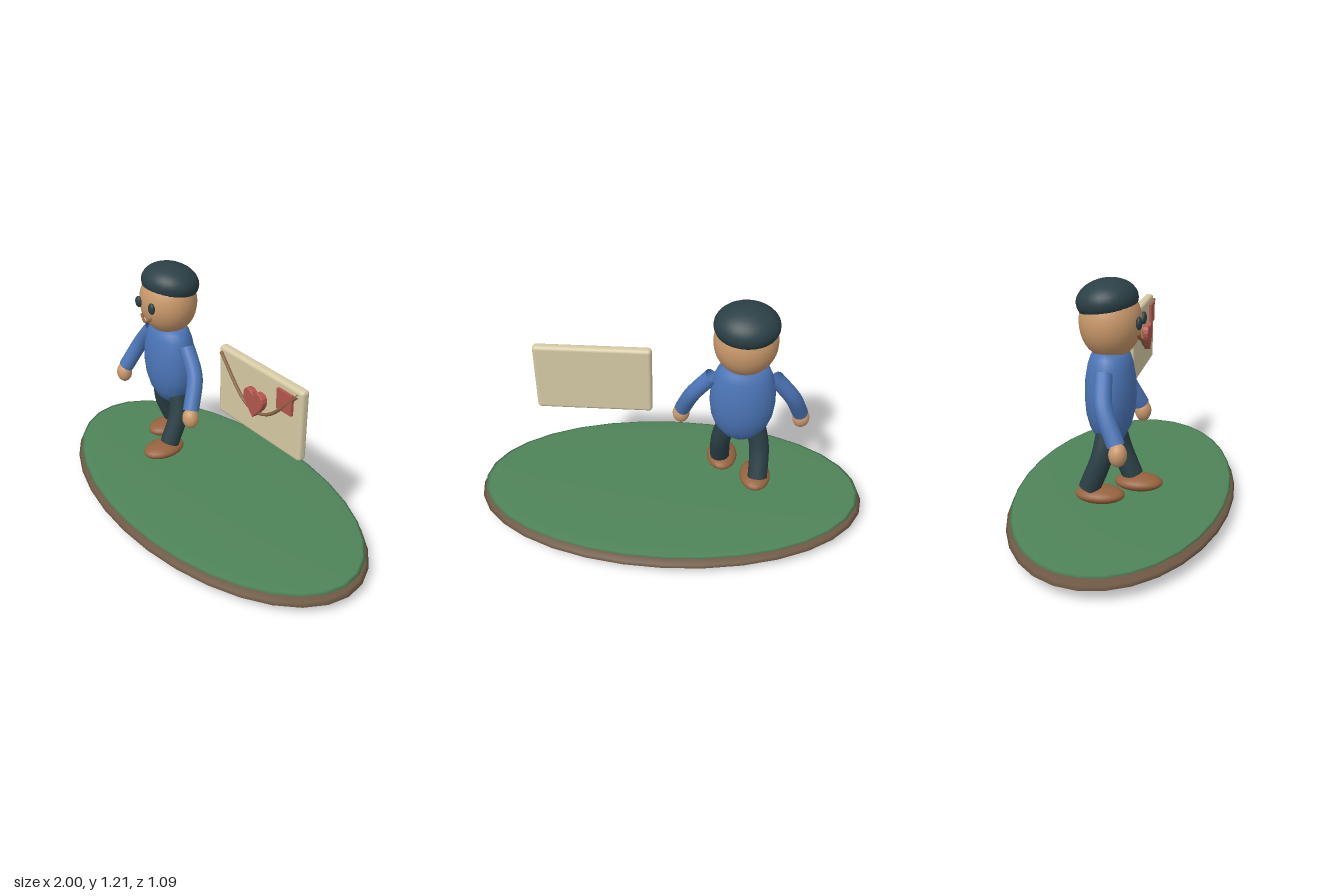
import * as THREE from 'three';
import { RoundedBoxGeometry } from 'three/addons/geometries/RoundedBoxGeometry.js';

const V = (x, y, z) => new THREE.Vector3(x, y, z);
const mat = (color, side = THREE.FrontSide) => new THREE.MeshStandardMaterial({ color, side });

const SKIN = 0xcb9a6c, BLUE = 0x4c76b8, DARK = 0x2b4046, SHOE = 0x96623e;
const GREEN = 0x4f8459, EARTH = 0x6e5844, CREAM = 0xd6caa5, RED = 0xb4564e, LINE = 0x8a6444;

function add(parent, name, geometry, color, pos = [0, 0, 0], side) {
  const mesh = new THREE.Mesh(geometry, mat(color, side));
  mesh.name = name;
  mesh.position.set(...pos);
  parent.add(mesh);
  return mesh;
}

function ellipsoid(parent, name, color, pos, radii, w = 24, h = 16) {
  return add(parent, name, new THREE.SphereGeometry(1, w, h).scale(...radii), color, pos);
}

function tube(parent, name, color, points, radius, segments = 16, sides = 14) {
  const curve = new THREE.CatmullRomCurve3(points);
  return add(parent, name, new THREE.TubeGeometry(curve, segments, radius, sides), color, [0, 0, 0], THREE.DoubleSide);
}

function makeGround() {
  const ground = new THREE.Group();
  ground.name = 'ground';
  ellipsoid(ground, 'earth', EARTH, [0, 0.058, 0], [1, 0.056, 0.545], 32, 16);
  ellipsoid(ground, 'grass', GREEN, [0, 0.104, 0], [0.98, 0.017, 0.525], 32, 16);
  return ground;
}

function makeFigure() {
  const figure = new THREE.Group();
  figure.name = 'figure';
  figure.position.x = -0.35;

  // torso: egg-like lathe, flattened front to back
  const profile = [[0, 0.445], [0.045, 0.455], [0.09, 0.487], [0.128, 0.54], [0.151, 0.605], [0.16, 0.68],
    [0.156, 0.76], [0.14, 0.83], [0.122, 0.87], [0.095, 0.893], [0, 0.9]].map(p => new THREE.Vector2(...p));
  add(figure, 'torso', new THREE.LatheGeometry(profile, 28).scale(1, 1, 0.72), BLUE);

  // head and face
  ellipsoid(figure, 'head', SKIN, [0, 1.02, 0], [0.152, 0.168, 0.14], 28, 20);
  const cap = new THREE.SphereGeometry(1, 28, 14, 0, Math.PI * 2, 0, Math.PI * 0.62).scale(0.154, 0.095, 0.138);
  add(figure, 'cap', cap, DARK, [0, 1.115, -0.014], THREE.DoubleSide).rotation.x = -0.15;
  for (const s of [-1, 1]) ellipsoid(figure, 'eye', DARK, [s * 0.056, 1.028, 0.138], [0.022, 0.029, 0.014], 16, 12);
  tube(figure, 'mouth', SHOE, [V(-0.043, 0.965, 0.132), V(0, 0.942, 0.143), V(0.043, 0.965, 0.132)], 0.007, 12, 8);

  // arms, legs and feet; the left leg strides forward
  for (const s of [-1, 1]) {
    const side = s > 0 ? 'left' : 'right';
    tube(figure, side + 'Arm', BLUE,
      [V(s * 0.15, 0.815, 0), V(s * 0.24, 0.695, 0.02), V(s * 0.295, 0.55, 0.085)], 0.04);
    ellipsoid(figure, side + 'Hand', SKIN, [s * 0.302, 0.513, 0.094], [0.043, 0.053, 0.04], 18, 12);
    tube(figure, side + 'Leg', DARK,
      [V(s * 0.07, 0.54, 0), V(s * 0.097, 0.41, s * 0.024), V(s * 0.097, 0.26, s * 0.082)], 0.05);
    ellipsoid(figure, side + 'Foot', SHOE, [s * 0.086, 0.23, s > 0 ? 0.113 : -0.035], [0.078, 0.038, 0.115]);
  }
  return figure;
}

function makeEnvelope() {
  const envelope = new THREE.Group();
  envelope.name = 'envelope';
  envelope.position.set(0.371, 0.777, 0);
  add(envelope, 'paper', new RoundedBoxGeometry(0.567, 0.355, 0.047, 3, 0.018), CREAM);
  tube(envelope, 'flapEdge', LINE,
    [V(-0.26, 0.153, 0.029), V(-0.09, -0.015, 0.035), V(0, -0.042, 0.038), V(0.09, -0.015, 0.035), V(0.26, 0.153, 0.029)],
    0.008, 24, 8);
  add(envelope, 'stamp', new THREE.BoxGeometry(0.096, 0.1, 0.018), RED, [0.185, 0.093, 0.028]);

  // heart-shaped seal
  const heart = new THREE.Shape();
  heart.moveTo(0, 0.04);
  heart.bezierCurveTo(0.012, 0.075, 0.063, 0.073, 0.064, 0.03);
  heart.bezierCurveTo(0.064, -0.005, 0.025, -0.035, 0, -0.064);
  heart.bezierCurveTo(-0.025, -0.035, -0.064, -0.005, -0.064, 0.03);
  heart.bezierCurveTo(-0.063, 0.073, -0.012, 0.075, 0, 0.04);
  const seal = new THREE.ExtrudeGeometry(heart, {
    depth: 0.026, curveSegments: 6, bevelSize: 0.003, bevelThickness: 0.003, bevelSegments: 1,
  });
  add(envelope, 'heartSeal', seal, RED, [0, 0.002, 0.026]);
  return envelope;
}

export function createModel() {
  const model = new THREE.Group();
  model.name = 'letterScene';
  model.add(makeGround(), makeFigure(), makeEnvelope());
  return model;
}
